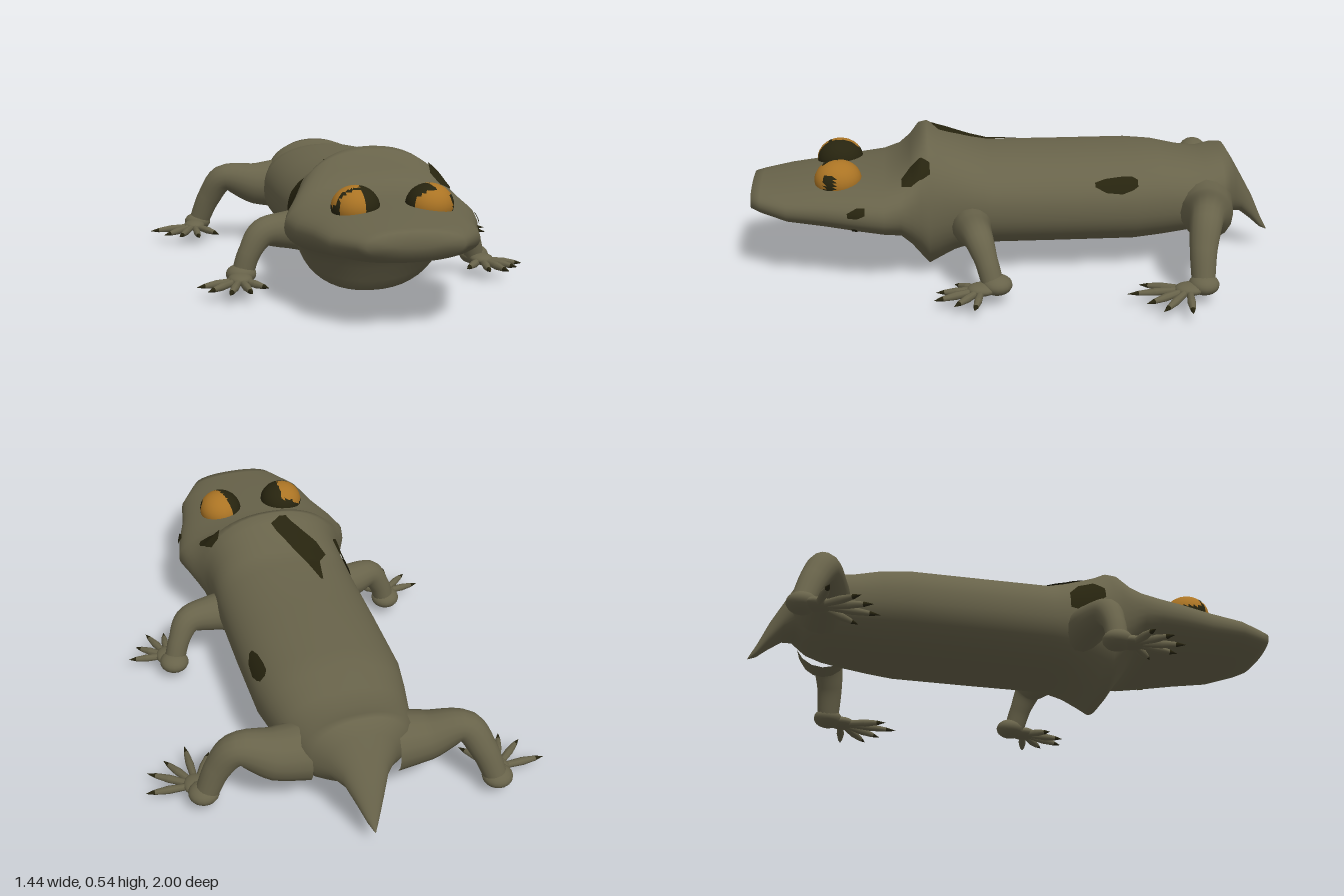
import * as THREE from 'three';

const mat = (name, color, side = THREE.FrontSide) => Object.assign(new THREE.MeshStandardMaterial({ color, side }), { name });

// Body stations from snout to tail: z, bottom, top, half width
const STATIONS = [
  [1.0, 0.29, 0.31, 0.08], [0.995, 0.255, 0.345, 0.165], [0.96, 0.24, 0.352, 0.19], [0.86, 0.215, 0.362, 0.255],
  [0.72, 0.195, 0.378, 0.285], [0.6, 0.18, 0.388, 0.325], [0.5, 0.165, 0.4, 0.347], [0.44, 0.15, 0.43, 0.332],
  [0.4, 0.1, 0.475, 0.312], [0.365, 0.045, 0.53, 0.292], [0.335, 0.005, 0.54, 0.282], [0.3, 0.025, 0.522, 0.274],
  [0.24, 0.06, 0.498, 0.27], [0.17, 0.085, 0.472, 0.272], [0.1, 0.092, 0.452, 0.275], [-0.15, 0.092, 0.45, 0.277],
  [-0.44, 0.092, 0.45, 0.275], [-0.54, 0.1, 0.442, 0.258], [-0.64, 0.112, 0.42, 0.238], [-0.72, 0.125, 0.412, 0.225],
  [-0.78, 0.14, 0.43, 0.205], [-0.81, 0.155, 0.432, 0.175], [-0.84, 0.172, 0.385, 0.125], [-0.88, 0.165, 0.315, 0.082],
  [-0.93, 0.125, 0.225, 0.05], [-0.97, 0.088, 0.135, 0.022], [-1.0, 0.074, 0.078, 0.001],
];

// Point on the body skin at a given z and angle, pushed out by `lift`
function skin(z, angle, lift = 0) {
  let i = 0;
  while (i < STATIONS.length - 2 && STATIONS[i + 1][0] > z) i++;
  const a = STATIONS[i], b = STATIONS[i + 1];
  const t = (z - a[0]) / (b[0] - a[0]);
  const [lo, hi, w] = [1, 2, 3].map(k => a[k] + (b[k] - a[k]) * t);
  const soft = v => Math.sign(v) * Math.abs(v) ** 0.9;
  const c = soft(Math.cos(angle)), s = soft(Math.sin(angle));
  return [c * (w + lift), (lo + hi) / 2 + s * ((hi - lo) / 2 + lift), z];
}

// Surface through equal rows of points; closed joins the ends of each row
function gridGeometry(rows, closed) {
  const n = rows[0].length, index = [];
  for (let i = 0; i < rows.length - 1; i++) {
    for (let j = 0; j < (closed ? n : n - 1); j++) {
      const k = (j + 1) % n, a = i * n + j, b = i * n + k, c = a + n, d = b + n;
      index.push(a, c, b, b, c, d);
    }
  }
  const g = new THREE.BufferGeometry();
  g.setAttribute('position', new THREE.Float32BufferAttribute(rows.flat(2), 3));
  g.setIndex(index);
  g.computeVertexNormals();
  return g;
}

// Dark skin spot from rows of [z, first degree, last degree], z falling
function spotGeometry(rows) {
  const out = [], STEPS = 5, COLS = 7;
  for (let i = 0; i < rows.length - 1; i++) {
    for (let s = i ? 1 : 0; s <= STEPS; s++) {
      const [z, a, b] = rows[i].map((v, k) => v + (rows[i + 1][k] - v) * s / STEPS);
      out.push(Array.from({ length: COLS }, (_, j) =>
        skin(z, THREE.MathUtils.degToRad(a + (b - a) * j / (COLS - 1)), 0.006)));
    }
  }
  return gridGeometry(out, false);
}

// Tube whose radius follows a list of values
function limbGeometry(points, radii) {
  const curve = new THREE.CatmullRomCurve3(points.map(p => new THREE.Vector3(...p)));
  const SEG = 24, RAD = 16, g = new THREE.TubeGeometry(curve, SEG, 1, RAD);
  const pos = g.attributes.position, v = new THREE.Vector3();
  for (let i = 0; i <= SEG; i++) {
    const c = curve.getPointAt(i / SEG), f = i / SEG * (radii.length - 1);
    const k = Math.min(Math.floor(f), radii.length - 2);
    const r = THREE.MathUtils.lerp(radii[k], radii[k + 1], f - k);
    for (let j = 0; j <= RAD; j++) {
      const n = i * (RAD + 1) + j;
      v.fromBufferAttribute(pos, n).sub(c).multiplyScalar(r).add(c);
      pos.setXYZ(n, v.x, v.y, v.z);
    }
  }
  return g;
}

export function createModel() {
  const model = new THREE.Group();
  const olive = mat('olive skin', 0x68634a);
  const dark = mat('dark marking', 0x27240f, THREE.DoubleSide);
  const amber = mat('amber eye', 0xab7424);

  const add = (parent, name, geometry, material) => {
    const m = new THREE.Mesh(geometry, material);
    m.name = name;
    parent.add(m);
    return m;
  };

  // Head, trunk and tail in one skin
  const rings = STATIONS.map(([z]) => Array.from({ length: 48 }, (_, j) => skin(z, j / 48 * Math.PI * 2)));
  rings.unshift(Array.from({ length: 48 }, () => [0, 0.3, 1]));
  add(model, 'body', gridGeometry(rings, true), olive);

  // Skin spots
  const spots = {
    backStreak: [[0.315, 94, 99], [0.29, 88, 102], [0.25, 90, 109], [0.2, 94, 119], [0.14, 99, 124], [0.1, 103, 115], [0.03, 106, 112], [-0.02, 108, 110]],
    shoulderSpot: [[0.3, 155, 165], [0.26, 145, 172], [0.2, 148, 180], [0.16, 160, 178]],
    collarSpot: [[0.435, 38, 48], [0.4, 30, 52], [0.36, 28, 48], [0.33, 32, 42]],
    flankSpot: [[-0.28, 27, 32], [-0.32, 20, 36], [-0.38, 18, 38], [-0.42, 22, 38], [-0.44, 26, 34]],
    cheekSpot: [[0.635, 2, 10], [0.6, 2, 20], [0.57, 8, 20]],
    cheekDot: [[0.62, -30, -20], [0.6, -30, -20]],
  };
  for (const [name, rows] of Object.entries(spots)) add(model, name, spotGeometry(rows), dark);

  // Eyes: dark balls with amber faces chosen by direction
  const eye = (name, x, isAmber) => {
    const g = new THREE.SphereGeometry(1, 28, 18).toNonIndexed();
    const p = g.attributes.position;
    for (let i = 0; i < p.count; i += 3) {
      const [nx, ny, nz] = ['getX', 'getY', 'getZ'].map(f => (p[f](i) + p[f](i + 1) + p[f](i + 2)) / 3);
      g.addGroup(i, 3, isAmber(nx, ny, nz) ? 1 : 0);
    }
    const m = add(model, name, g, [dark, amber]);
    m.scale.set(0.084, 0.075, 0.088);
    m.position.set(x, 0.375, 0.67);
  };
  eye('leftEye', 0.13, (x, y, z) =>
    (x > -0.1 + 0.35 * z || (z > 0.6 && x > -0.75 && x < 0.5)) && !(x > 0.2 && z > 0.1 && z < 0.55 && y < 0.45));
  eye('rightEye', -0.13, (x, y, z) =>
    (x < 0.12 && z < 0.35 && z > -0.8 && y > 0.1) || (x > -0.75 && x < 0.15 && z > 0.5));

  // Legs: bone path, radii, heel, palm and toe tips on the ground plan
  const legs = [
    {
      name: 'leftFrontLeg', path: [[0.2, 0.22, 0.18], [0.3, 0.225, 0.175], [0.39, 0.22, 0.16], [0.435, 0.15, 0.135], [0.46, 0.075, 0.115]],
      radii: [0.085, 0.07, 0.055, 0.042, 0.04], heel: [0.465, 0.1], palm: [0.48, 0.155],
      tips: [[0.63, 0.19], [0.59, 0.26], [0.535, 0.33], [0.465, 0.32], [0.395, 0.25]],
    },
    {
      name: 'rightFrontLeg', path: [[-0.2, 0.22, 0.22], [-0.3, 0.225, 0.235], [-0.39, 0.22, 0.265], [-0.44, 0.15, 0.275], [-0.465, 0.075, 0.275]],
      radii: [0.085, 0.07, 0.055, 0.042, 0.04], heel: [-0.47, 0.275], palm: [-0.48, 0.325],
      tips: [[-0.64, 0.36], [-0.61, 0.44], [-0.54, 0.505], [-0.46, 0.5], [-0.39, 0.42]],
    },
    {
      name: 'leftHindLeg', path: [[0.16, 0.25, -0.71], [0.27, 0.25, -0.7], [0.4, 0.275, -0.67], [0.465, 0.19, -0.65], [0.51, 0.075, -0.645]],
      radii: [0.11, 0.095, 0.062, 0.05, 0.042], heel: [0.52, -0.645], palm: [0.535, -0.59],
      tips: [[0.715, -0.57], [0.69, -0.47], [0.62, -0.42], [0.53, -0.365], [0.45, -0.42]],
    },
    {
      name: 'rightHindLeg', path: [[-0.14, 0.25, -0.75], [-0.26, 0.25, -0.755], [-0.4, 0.275, -0.775], [-0.46, 0.19, -0.815], [-0.505, 0.075, -0.85]],
      radii: [0.11, 0.09, 0.058, 0.05, 0.042], heel: [-0.51, -0.85], palm: [-0.53, -0.8],
      tips: [[-0.72, -0.78], [-0.67, -0.67], [-0.61, -0.62], [-0.53, -0.585], [-0.44, -0.65]],
    },
  ];
  const up = new THREE.Vector3(0, 1, 0), ball = new THREE.SphereGeometry(1, 18, 12);
  for (const { name, path, radii, heel, palm, tips } of legs) {
    const leg = new THREE.Group();
    leg.name = name;
    model.add(leg);
    add(leg, 'limb', limbGeometry(path, radii), olive);
    const h = add(leg, 'heel', ball, olive);
    h.position.set(heel[0], 0.075, heel[1]);
    h.scale.set(0.056, 0.037, 0.056);
    const p = add(leg, 'palm', ball, olive);
    p.position.set(palm[0], 0.066, palm[1]);
    p.scale.set(0.045, 0.022, 0.055);
    // Slender toes ending in dark claws
    for (const [x, z] of tips) {
      const start = new THREE.Vector3(palm[0], 0.064, palm[1]), end = new THREE.Vector3(x, 0.05, z);
      const length = start.distanceTo(end), dir = end.clone().sub(start).normalize();
      const segment = (part, from, to, r0, r1, material) => {
        const m = add(leg, part, new THREE.CylinderGeometry(r1, r0, length * (to - from), 8), material);
        m.position.lerpVectors(start, end, (from + to) / 2);
        m.quaternion.setFromUnitVectors(up, dir);
      };
      segment('toeBase', 0, 0.55, 0.011, 0.015, olive);
      segment('toeTip', 0.55, 0.82, 0.015, 0.0095, olive);
      segment('claw', 0.82, 1, 0.0095, 0.0005, dark);
    }
  }
  return model;
}
